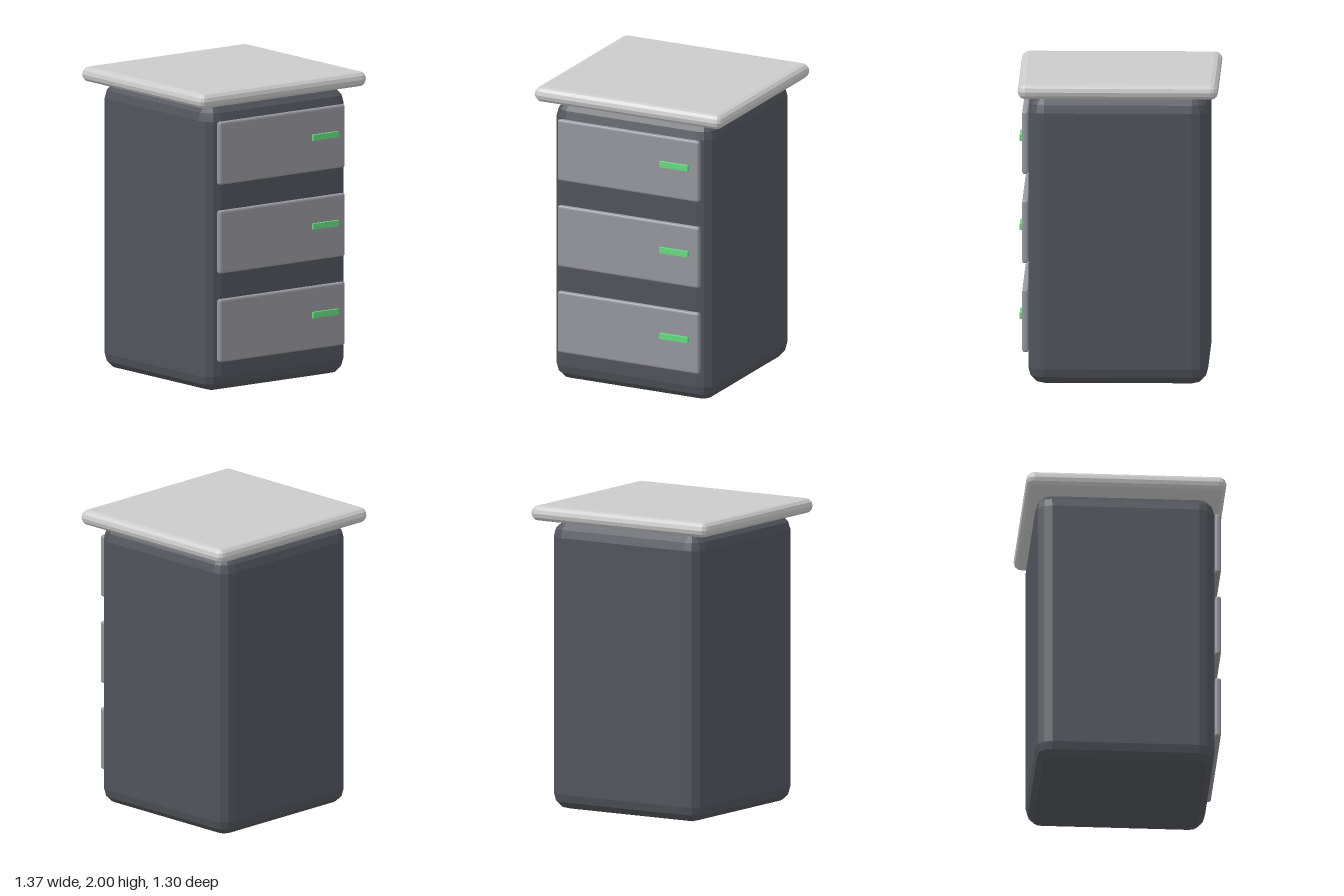
import * as THREE from 'three';
import { ConvexGeometry } from 'three/addons/geometries/ConvexGeometry.js';

const material = (color) => new THREE.MeshStandardMaterial({ color, flatShading: true });

// Box with edges and corners rounded in a few facets, spanning min to max
function bevelBox(name, min, max, radius, mat, steps = 3) {
  const size = max.map((m, i) => m - min[i]);
  const points = [];
  for (const sx of [-1, 1]) for (const sy of [-1, 1]) for (const sz of [-1, 1])
    for (let i = 0; i <= steps; i++) for (let j = 0; j <= (i ? steps : 0); j++) {
      const a = (i / steps) * Math.PI / 2, b = (j / steps) * Math.PI / 2;
      points.push(new THREE.Vector3(
        sx * (size[0] / 2 - radius + radius * Math.sin(a) * Math.cos(b)),
        sy * (size[1] / 2 - radius + radius * Math.cos(a)),
        sz * (size[2] / 2 - radius + radius * Math.sin(a) * Math.sin(b))));
    }
  return place(name, new ConvexGeometry(points), min, max, mat);
}

function place(name, geometry, min, max, mat) {
  const mesh = new THREE.Mesh(geometry, mat);
  mesh.name = name;
  mesh.position.set(...min.map((m, i) => (m + max[i]) / 2));
  return mesh;
}

export function createModel() {
  const model = new THREE.Group();
  model.name = 'drawerCabinet';
  const bodyMat = material(0x50545b), drawerMat = material(0x96979f);
  const topMat = material(0xd0d0d4), handleMat = material(0x66dd7f);

  // Cabinet body and overhanging top
  model.add(bevelBox('body', [-0.583, 0.003, -0.582], [0.583, 1.9, 0.587], 0.105, bodyMat));
  model.add(bevelBox('top', [-0.687, 1.9, -0.65], [0.687, 2, 0.653], 0.049, topMat));

  // Three drawers, each with a handle near its left end
  [0.417, 1.003, 1.59].forEach((y, i) => {
    const drawer = new THREE.Group();
    drawer.name = `drawer${i + 1}`;
    drawer.add(bevelBox('drawerFront', [-0.518, y - 0.208, 0.586], [0.514, y + 0.208, 0.626], 0.014, drawerMat));
    const min = [0.237, y + 0.001, 0.615], max = [0.445, y + 0.04, 0.644];
    drawer.add(place('handle', new THREE.BoxGeometry(0.208, 0.039, 0.029), min, max, handleMat));
    model.add(drawer);
  });
  return model;
}
